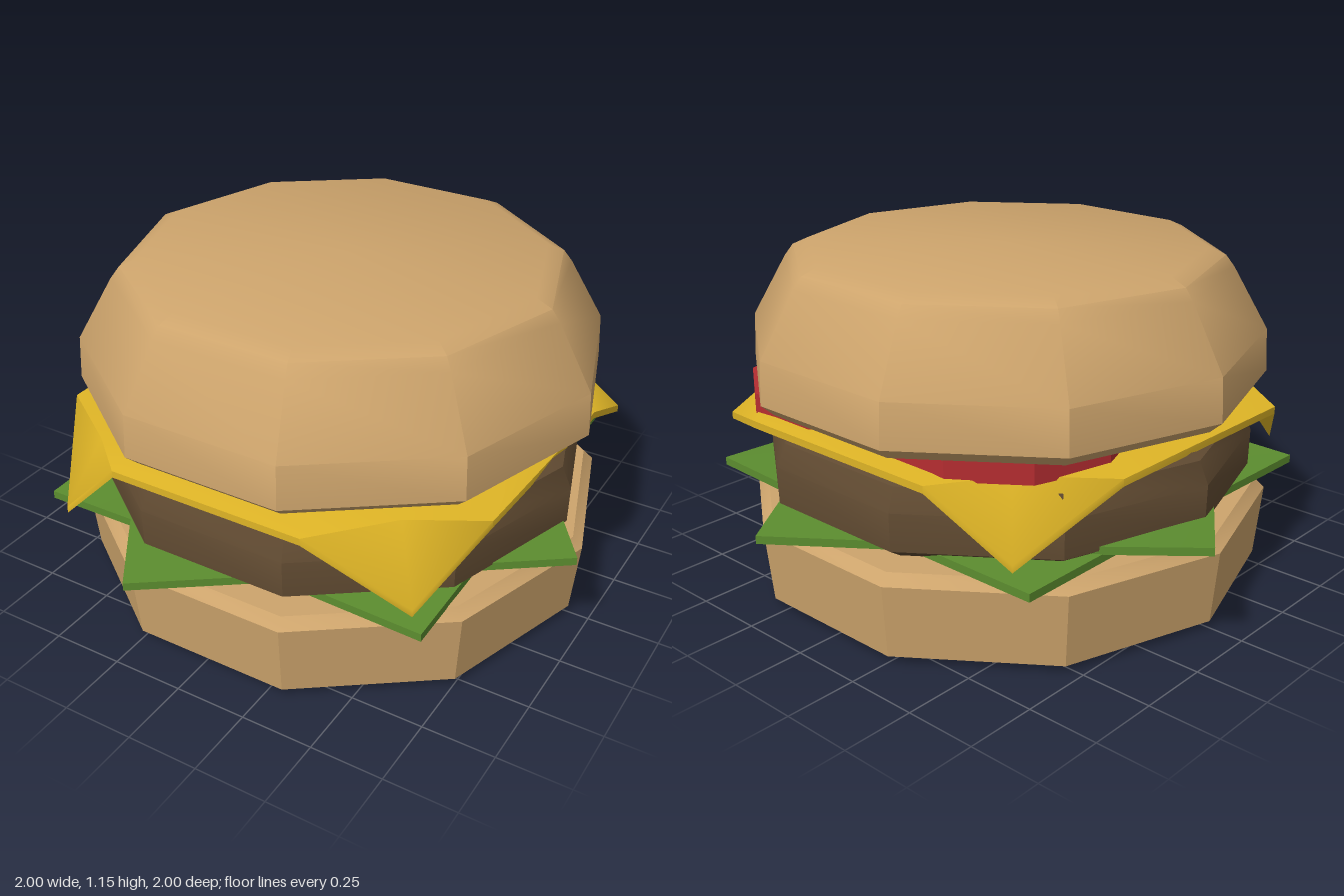
import * as THREE from 'three';
import { toCreasedNormals } from 'three/addons/utils/BufferGeometryUtils.js';

const paint = (name, color) => Object.assign(new THREE.MeshStandardMaterial({ color }), { name });

export function createModel() {
  const group = new THREE.Group();
  const bun = paint('toasted bun', 0xcda46c);
  const meat = paint('brown patty', 0x604a31);
  const cheddar = paint('yellow cheese', 0xdfb526);
  const red = paint('red tomato', 0xb62d31);
  const green = paint('green lettuce', 0x5c8d2f);

  const add = (name, geometry, material, crease = 0.6) => {
    const mesh = new THREE.Mesh(toCreasedNormals(geometry, crease), material);
    mesh.name = name;
    group.add(mesh);
    return mesh;
  };

  // Ten-sided turned body with a corner on each side of the x axis
  const turned = (name, profile, material, x = 0.025, z = 0) => {
    const points = profile.map(([r, y]) => new THREE.Vector2(r, y));
    const mesh = add(name, new THREE.LatheGeometry(points, 10, Math.PI / 2), material);
    mesh.position.set(x, 0, z);
    return mesh;
  };

  turned('bottomBun', [[0, 0], [0.84, 0], [0.9, 0.025], [0.925, 0.28], [0.89, 0.315], [0, 0.315]], bun);
  turned('patty', [[0, 0.33], [0.8, 0.33], [0.862, 0.37], [0.865, 0.5], [0.83, 0.575], [0.77, 0.605], [0, 0.605]], meat);
  turned('topBun', [[0, 0.68], [0.86, 0.68], [0.905, 0.72], [0.897, 0.87], [0.775, 1.085],
    [0.745, 1.125], [0.69, 1.15], [0, 1.15]], bun);

  // Tomato slices between the cheese and the top bun
  [[-0.24, -0.3], [0.36, -0.32], [0.1, 0.19]].forEach(([x, z], i) => {
    turned('tomatoSlice' + (i + 1), [[0, 0.61], [0.44, 0.61], [0.44, 0.685], [0, 0.685]], red, x, z);
  });

  // Lettuce: square leaves whose four corners lift or droop
  const leaf = (name, turn, y, corners) => {
    const half = 0.72;
    const geometry = new THREE.BoxGeometry(half * 2, 0.028, half * 2, 8, 1, 8);
    const p = geometry.attributes.position;
    for (let i = 0; i < p.count; i++) {
      const u = p.getX(i) / half, v = p.getZ(i) / half;
      const lift = corners[(u > 0 ? 1 : 0) + (v > 0 ? 2 : 0)];
      p.setY(i, p.getY(i) + lift * Math.abs(u * v));
    }
    const mesh = add(name, geometry, green);
    mesh.rotation.y = turn;
    mesh.position.y = y;
  };
  // corner order: back right, back left, front right, front left
  leaf('lowerLettuce', 0, 0.345, [0.0, 0.025, -0.01, -0.025]);
  leaf('upperLettuce', Math.PI / 4 - 0.188, 0.35, [0.04, -0.016, -0.016, 0.02].map((l, i) => [0.04, -0.016, -0.016, 0.02][i]));

  // Cheese: a slice whose corners (every third rim point) hang down
  const rim = [
    [-0.58, 0.385, 0.805], [-0.36, 0.605, 0.81], [0.35, 0.605, 0.81],
    [0.67, 0.38, 0.685], [0.8, 0.595, 0.42], [0.83, 0.6, -0.34],
    [0.83, 0.495, -0.6], [0.42, 0.62, -0.8], [-0.36, 0.615, -0.79],
    [-0.6, 0.385, -0.66], [-0.77, 0.615, -0.35], [-0.77, 0.61, 0.5],
  ];
  const n = rim.length, thick = 0.025;
  const fold = rim.map(([x, , z], i) => {
    const k = i % 3 === 0 ? 0.86 : 0.8;
    return [x * k, i % 3 === 0 ? 0.622 : 0.635, z * k];
  });
  const verts = [];
  const down = ([x, y, z]) => [x, y - thick, z];
  const tri = (a, b, c) => verts.push(...a, ...b, ...c);
  const both = (a, b, c) => { tri(a, b, c); tri(down(a), down(c), down(b)); };
  for (let i = 0; i < n; i++) {
    const j = (i + 1) % n;
    both([0, 0.635, 0], fold[i], fold[j]);
    // choose the diagonal so each hanging corner folds symmetrically
    if (i % 3 === 0) {
      both(fold[i], rim[i], rim[j]);
      both(fold[i], rim[j], fold[j]);
    } else {
      both(fold[i], rim[i], fold[j]);
      both(rim[i], rim[j], fold[j]);
    }
    tri(rim[i], down(rim[i]), rim[j]);
    tri(down(rim[i]), down(rim[j]), rim[j]);
  }
  const slice = new THREE.BufferGeometry();
  slice.setAttribute('position', new THREE.Float32BufferAttribute(verts, 3));
  add('cheese', slice, cheddar, 0.8);

  return group;
}
